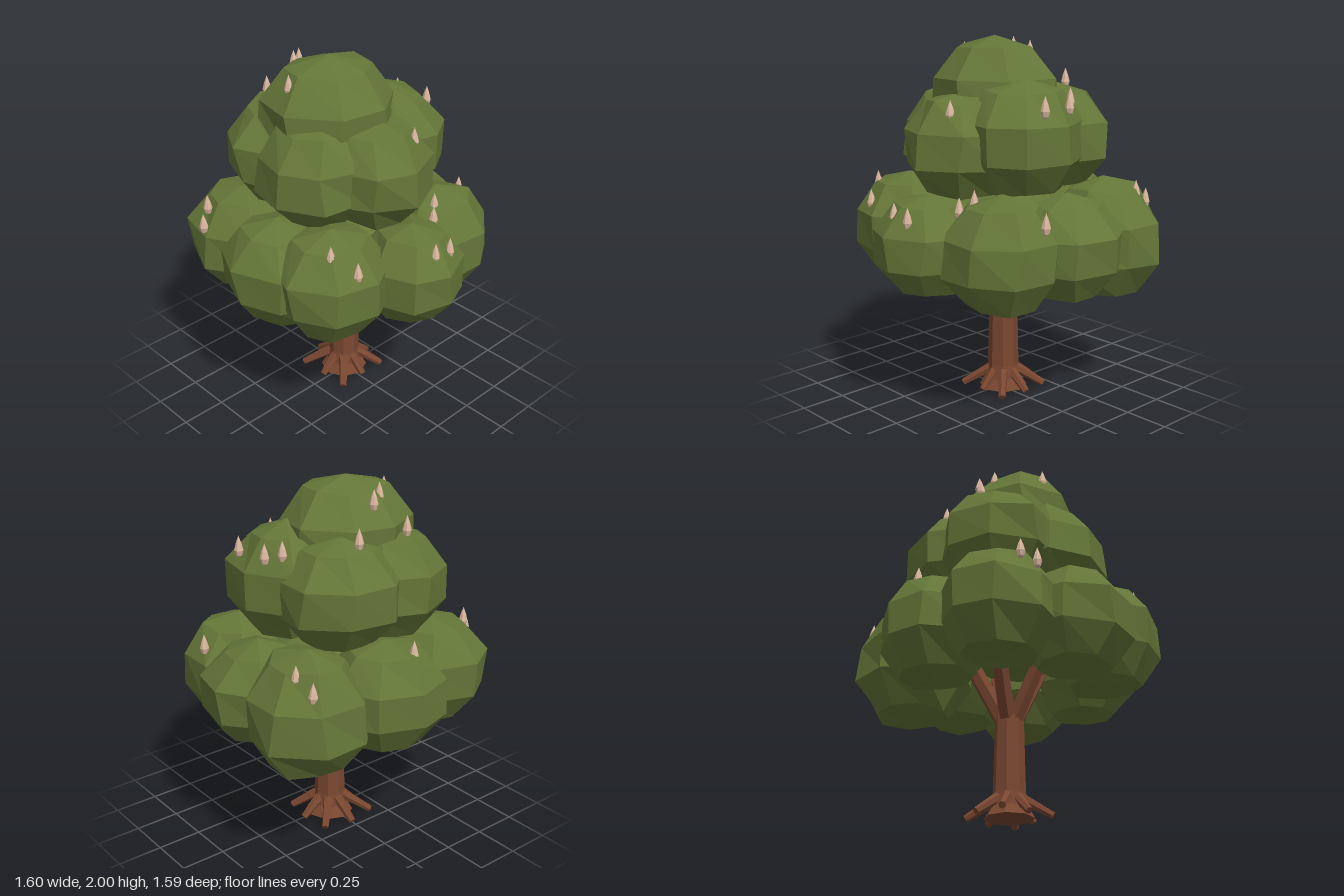
import * as THREE from 'three';

const leafGreen = new THREE.MeshStandardMaterial({ name: 'leafGreen', color: 0x647638, flatShading: true });
const barkBrown = new THREE.MeshStandardMaterial({ name: 'barkBrown', color: 0x7a4731, flatShading: true });
const budTan = new THREE.MeshStandardMaterial({ name: 'budTan', color: 0xdcb89f, flatShading: true });

// Repeatable noise in -1..1
function noise(a, b, c) {
  const s = Math.sin(a * 12.99 + b * 78.23 + c * 37.72) * 43758.545;
  return 2 * (s - Math.floor(s)) - 1;
}

// Lumpy low-poly sphere with a flattened underside; vertices at the same spot move together
function clumpGeometry(rx, ry, rz, turn, seed) {
  const geo = new THREE.SphereGeometry(1, 8, 5).rotateY(turn);
  const p = geo.attributes.position;
  for (let i = 0; i < p.count; i++) {
    const v = [p.getX(i), p.getY(i), p.getZ(i)];
    const k = v.map((n) => Math.round(n * 10) + 0);
    const grow = 1.03 + 0.05 * noise(k[0] + seed, k[1], k[2]);
    const shift = 0.08 * noise(k[2], k[0] + seed, k[1]);
    const y = Math.max(v[1], -0.88) * grow;
    p.setXYZ(i, (v[0] * grow + shift * v[2]) * rx, y * ry, (v[2] * grow - shift * v[0]) * rz);
  }
  geo.computeVertexNormals();
  return geo;
}

function add(parent, name, geo, mat, x = 0, y = 0, z = 0) {
  const mesh = new THREE.Mesh(geo, mat);
  mesh.name = name;
  mesh.position.set(x, y, z);
  parent.add(mesh);
  return mesh;
}

function addGroup(parent, name) {
  const group = new THREE.Group();
  group.name = name;
  parent.add(group);
  return group;
}

// Tapered limb between two points
function limb(parent, name, from, to, r0, r1) {
  const a = new THREE.Vector3(...from), b = new THREE.Vector3(...to);
  const dir = b.clone().sub(a);
  const mesh = add(parent, name, new THREE.CylinderGeometry(r1, r0, dir.length(), 6), barkBrown);
  mesh.position.copy(a).add(b).multiplyScalar(0.5);
  mesh.quaternion.setFromUnitVectors(new THREE.Vector3(0, 1, 0), dir.normalize());
}

export function createModel() {
  const tree = new THREE.Group();
  tree.name = 'tree';

  // Trunk with flared foot
  const wood = addGroup(tree, 'wood');
  wood.position.set(0.01, 0, -0.02);
  const profile = [[0, 0.015], [0.135, 0.015], [0.1, 0.07], [0.088, 0.15], [0.077, 0.62], [0, 0.62]];
  add(wood, 'trunk', new THREE.LatheGeometry(profile.map(([x, y]) => new THREE.Vector2(x, y)), 8), barkBrown);

  // Roots
  const roots = addGroup(wood, 'roots');
  const reach = [0.19, 0.22, 0.16, 0.23, 0.17, 0.24, 0.21, 0.23];
  reach.forEach((r, i) => {
    const a = (i * Math.PI) / 4;
    const c = Math.cos(a), s = Math.sin(a);
    limb(roots, 'root', [c * 0.06, 0.125, s * 0.06], [c * r, 0.022, s * r], 0.03, 0.02);
  });

  // Branches spreading into the crown
  const branches = addGroup(wood, 'branches');
  for (let i = 0; i < 5; i++) {
    const a = 0.3 + (i * Math.PI * 2) / 5;
    const c = Math.cos(a), s = Math.sin(a);
    limb(branches, 'branch', [c * 0.038, 0.56, s * 0.038], [c * 0.25, 0.95, s * 0.25], 0.048, 0.042);
  }

  // Foliage: x, y, z, rx, ry, rz, turn
  const crown = addGroup(tree, 'crown');
  const clumps = {
    lowerFoliage: [
      [0, 0.93, 0.5, 0.28, 0.28, 0.3, 0], [0.37, 0.92, 0.33, 0.32, 0.31, 0.32, 0.3],
      [0.49, 0.92, -0.02, 0.3, 0.28, 0.31, 0.2], [0.43, 0.91, -0.37, 0.33, 0.34, 0.33, 0.35],
      [0.02, 0.94, -0.49, 0.33, 0.3, 0.32, 0], [-0.39, 0.95, -0.38, 0.32, 0.3, 0.33, 0.1],
      [-0.5, 0.94, 0.02, 0.3, 0.29, 0.33, 0], [-0.4, 0.95, 0.31, 0.32, 0.3, 0.31, 0.1],
      [0, 1.03, 0, 0.34, 0.2, 0.34, 0],
    ],
    middleFoliage: [
      [-0.02, 1.43, 0.24, 0.32, 0.29, 0.32, 0], [0.24, 1.47, 0.05, 0.31, 0.31, 0.34, 0.15],
      [0.14, 1.45, -0.27, 0.34, 0.3, 0.32, 0.3], [-0.2, 1.45, -0.25, 0.34, 0.3, 0.33, 0],
      [-0.25, 1.44, 0.05, 0.32, 0.3, 0.33, 0.15],
    ],
    topFoliage: [[-0.08, 1.68, -0.04, 0.375, 0.31, 0.35, 0.2]],
  };
  let seed = 1;
  for (const [name, list] of Object.entries(clumps)) {
    for (const [x, y, z, rx, ry, rz, turn] of list) {
      add(crown, name, clumpGeometry(rx, ry, rz, turn, seed++), leafGreen, x, y, z);
    }
  }

  // Upright pointed buds: x, base y, z
  const buds = addGroup(tree, 'buds');
  const budProfile = [[0, 0], [0.017, 0.012], [0.025, 0.04], [0.016, 0.075], [0, 0.118]];
  const budGeo = new THREE.LatheGeometry(budProfile.map(([x, y]) => new THREE.Vector2(x, y)), 7);
  const spots = [
    [-0.03, 1.15, -0.65], [0.56, 1.06, -0.58], [0.58, 1.12, -0.47], [-0.62, 1.13, -0.42],
    [-0.69, 1.06, -0.37], [-0.21, 1.71, -0.38], [0.12, 1.7, -0.39], [-0.06, 1.85, -0.29],
    [-0.14, 1.87, -0.24], [0.4, 1.63, -0.13], [0.46, 1.61, -0.06], [-0.34, 1.84, -0.05],
    [0.48, 1.61, 0.14], [0.63, 1.06, 0.28], [0.08, 1.58, 0.42], [0.26, 1.14, 0.42],
    [0.2, 1.1, 0.47], [-0.52, 1.14, 0.44], [-0.44, 1.06, 0.55], [-0.04, 1.07, 0.7],
    [0.07, 1.06, 0.7],
  ];
  spots.forEach(([x, y, z], i) => {
    const bud = add(buds, 'bud', budGeo, budTan, x, y, z);
    bud.rotation.y = i;
  });

  return tree;
}
